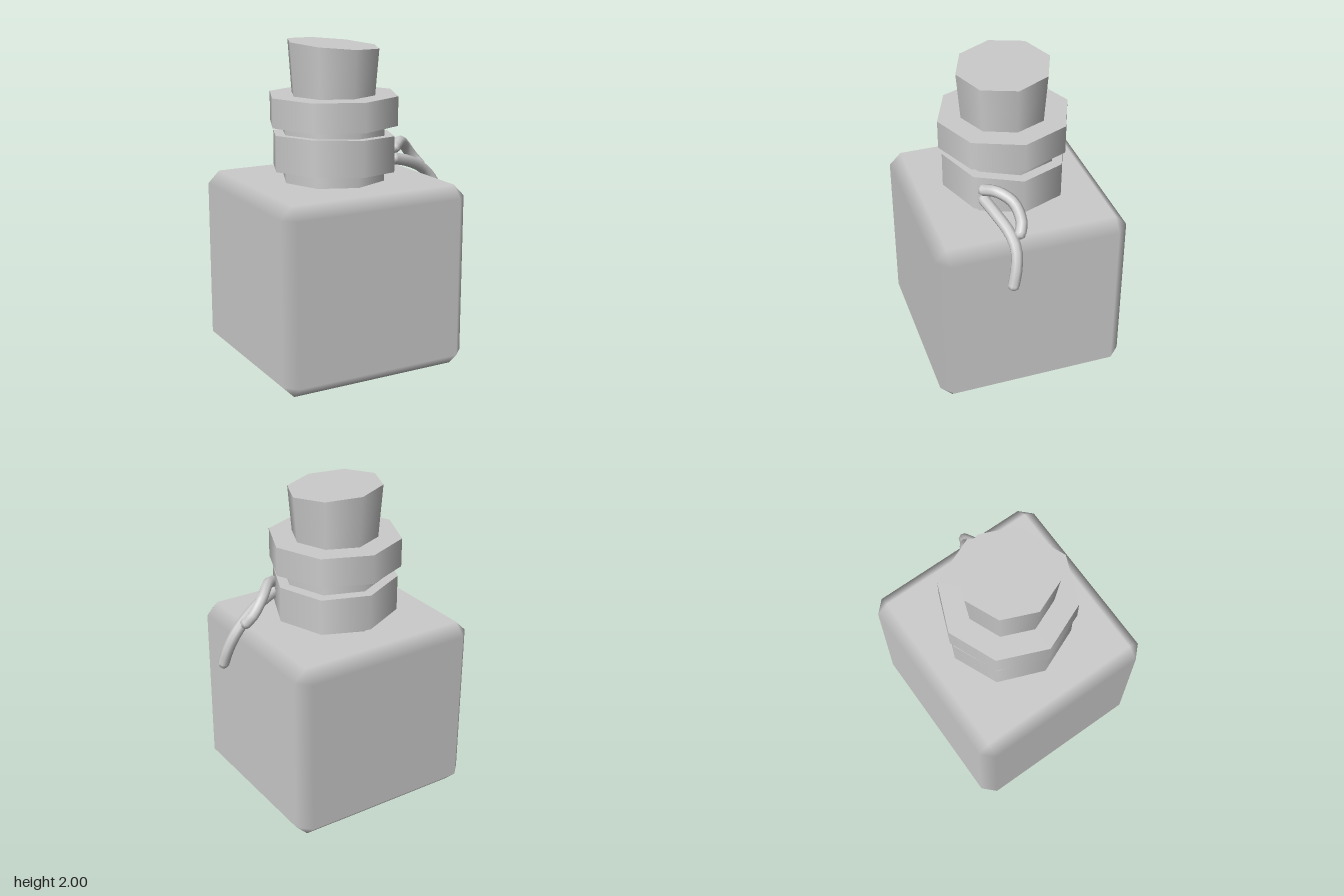
import * as THREE from 'three';
import { ConvexGeometry } from 'three/addons/geometries/ConvexGeometry.js';

const CENTER_X = -0.06;
const material = new THREE.MeshStandardMaterial({ color: 0xcccccc });

function addMesh(parent, name, geometry, x = 0, y = 0, z = 0) {
  const mesh = new THREE.Mesh(geometry, material);
  mesh.name = name;
  mesh.position.set(x, y, z);
  parent.add(mesh);
  return mesh;
}

// Box with single-step bevels: flat faces, shading blended across the bevels
function bevelledBox(w, h, d, bevel) {
  const half = [w / 2, h / 2, d / 2];
  const points = [];
  for (let axis = 0; axis < 3; axis++) {
    for (const sx of [-1, 1]) for (const sy of [-1, 1]) for (const sz of [-1, 1]) {
      const p = [sx, sy, sz].map((s, i) => s * (half[i] - (i === axis ? 0 : bevel)));
      points.push(new THREE.Vector3(...p));
    }
  }
  const geometry = new ConvexGeometry(points);
  const pos = geometry.attributes.position;
  const normal = geometry.attributes.normal;
  for (let i = 0; i < pos.count; i++) {
    const p = [pos.getX(i), pos.getY(i), pos.getZ(i)];
    // each corner point lies on exactly one main face
    const n = p.map((v, k) => (half[k] - Math.abs(v) < bevel / 2 ? Math.sign(v) : 0));
    normal.setXYZ(i, ...n);
  }
  return geometry;
}

// Eight-sided drum; the top and bottom can slope along x and z
function drum(rTop, rBottom, y0, y1, topSlope = [0, 0], bottomSlope = [0, 0]) {
  const geometry = new THREE.CylinderGeometry(rTop, rBottom, y1 - y0, 8);
  geometry.translate(0, (y0 + y1) / 2, 0);
  const pos = geometry.attributes.position;
  const mid = (y0 + y1) / 2;
  for (let i = 0; i < pos.count; i++) {
    const slope = pos.getY(i) > mid ? topSlope : bottomSlope;
    pos.setY(i, pos.getY(i) + slope[0] * pos.getX(i) + slope[1] * pos.getZ(i));
  }
  return geometry;
}

// Loose string end: a tube with rounded tips
function addString(parent, name, points, radius) {
  const string = new THREE.Group();
  string.name = name;
  const path = points.map((p) => new THREE.Vector3(...p));
  const curve = new THREE.CatmullRomCurve3(path);
  addMesh(string, name + 'Cord', new THREE.TubeGeometry(curve, 12, radius, 8));
  for (const p of [path[0], path[path.length - 1]]) {
    addMesh(string, name + 'Tip', new THREE.SphereGeometry(radius, 8, 6), p.x, p.y, p.z);
  }
  parent.add(string);
}

export function createModel() {
  const group = new THREE.Group();
  group.name = 'bottle';

  // Glass body, neck and lip
  addMesh(group, 'body', bevelledBox(1.24, 1.15, 1.2, 0.075), CENTER_X, 0.575, 0);
  addMesh(group, 'neck', drum(0.325, 0.325, 1.14, 1.51), CENTER_X);
  addMesh(group, 'lip', drum(0.41, 0.41, 1.495, 1.675), CENTER_X);

  // Cork with a slanted top
  addMesh(group, 'cork', drum(0.29, 0.265, 1.66, 1.98, [-0.07, -0.045]), CENTER_X);

  // Tilted wrap around the neck
  const tilt = [-0.045, 0.045];
  addMesh(group, 'wrap', drum(0.39, 0.39, 1.207, 1.43, tilt, tilt), CENTER_X);

  // Two loose ends of the tie
  addString(group, 'upperString', [
    [0.25, 1.35, 0.225], [0.32, 1.37, 0.165], [0.4, 1.33, 0.09],
    [0.48, 1.24, 0.068], [0.52, 1.19, 0.09],
  ], 0.035);
  addString(group, 'lowerString', [
    [0.25, 1.28, 0.222], [0.36, 1.25, 0.19], [0.49, 1.19, 0.145],
    [0.57, 1.12, 0.13], [0.62, 1.02, 0.145], [0.642, 0.92, 0.17],
  ], 0.036);

  return group;
}
